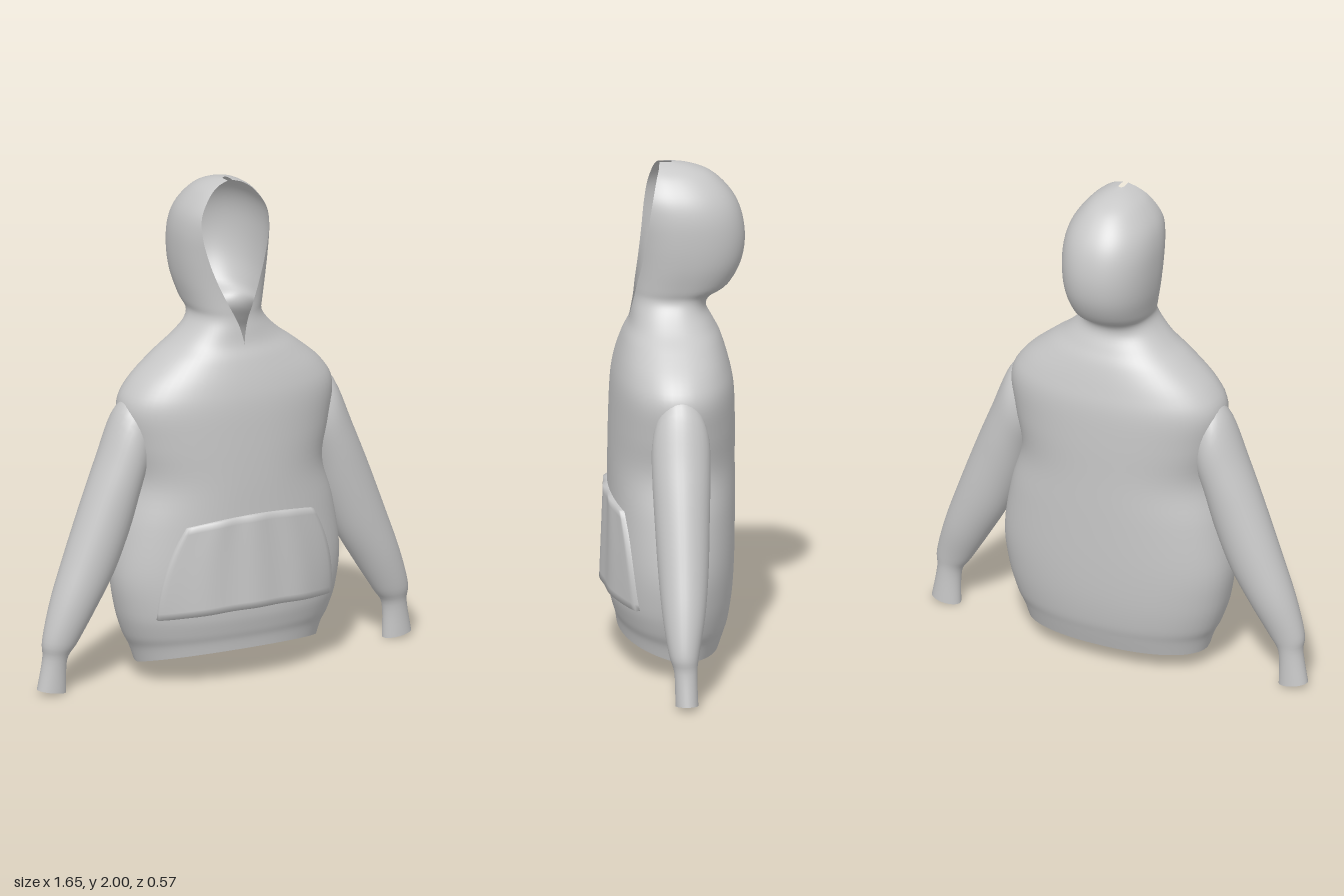
import * as THREE from 'three';
import { mergeVertices } from 'three/addons/utils/BufferGeometryUtils.js';

const ROUND = 0.9; // slightly boxier than an ellipse

// Smoothly resample a table of sections (Catmull-Rom on every column)
function smoothRows(table, steps) {
  const out = [];
  const last = table.length - 1;
  for (let i = 0; i < last; i++) {
    const p0 = table[Math.max(i - 1, 0)], p1 = table[i];
    const p2 = table[i + 1], p3 = table[Math.min(i + 2, last)];
    for (let s = 0; s < steps; s++) {
      const t = s / steps;
      out.push(p1.map((v, k) => 0.5 * (2 * v + (p2[k] - p0[k]) * t
        + (2 * p0[k] - 5 * v + 4 * p2[k] - p3[k]) * t * t
        + (3 * v - p0[k] - 3 * p2[k] + p3[k]) * t * t * t)));
    }
  }
  out.push(table[last]);
  return out;
}

// Skin rows of points into one smooth surface
function loft(rows) {
  const n = rows[0].length, index = [];
  for (let i = 0; i < rows.length - 1; i++) {
    for (let j = 0; j < n - 1; j++) {
      const a = i * n + j, b = a + 1, c = a + n, d = c + 1;
      index.push(a, b, c, b, d, c);
    }
  }
  let geo = new THREE.BufferGeometry().setFromPoints(rows.flat());
  geo.setIndex(index);
  geo = mergeVertices(geo, 1e-4);
  geo.computeVertexNormals();
  return geo;
}

// Horizontal section: half width w, front zf, back zb, centre c, half opening a
function bodyRow([y, w, zf, zb, c, a]) {
  const open = Math.min(Math.max(a, 0) / w, 0.97);
  const start = Math.acos(Math.pow(open, 1 / ROUND));
  const depth = (zf - c) / Math.pow(Math.sin(start), ROUND);
  const half = 28, side = [];
  for (let j = 0; j <= half; j++) {
    const f = start + (-Math.PI / 2 - start) * j / half;
    const x = w * Math.pow(Math.max(Math.cos(f), 0), ROUND);
    const s = Math.pow(Math.abs(Math.sin(f)), ROUND);
    const z = f > 0 ? c + depth * s : c - (c - zb) * s;
    // The hem rises towards the front
    const lift = Math.max(0, z) * 0.28 * Math.max(0, 1 - (y - 0.07) / 0.2);
    side.push(new THREE.Vector3(x, y + lift, z));
  }
  const mirror = side.slice(0, -1).reverse().map(p => new THREE.Vector3(-p.x, p.y, p.z));
  return [...side, ...mirror];
}

// y, half width, front z, back z, centre z, half opening
const torso = [
  [0.07, 0.385, 0.215, -0.18, 0, 0],
  [0.13, 0.405, 0.222, -0.2, 0, 0],
  [0.19, 0.435, 0.235, -0.217, 0, 0],
  [0.3, 0.468, 0.25, -0.232, 0, 0],
  [0.45, 0.485, 0.252, -0.24, 0, 0],
  [0.65, 0.453, 0.25, -0.243, 0, 0],
  [0.82, 0.405, 0.25, -0.243, 0, 0],
  [0.98, 0.435, 0.246, -0.243, 0, 0],
  [1.12, 0.455, 0.238, -0.237, 0, 0],
  [1.21, 0.408, 0.222, -0.218, 0, 0],
  [1.3, 0.305, 0.195, -0.19, 0, 0],
];
const hood = [
  [1.36, 0.225, 0.17, -0.16, 0, 0],
  [1.42, 0.165, 0.158, -0.132, 0, 0.012],
  [1.465, 0.142, 0.149, -0.15, -0.01, 0.028],
  [1.51, 0.153, 0.142, -0.22, -0.03, 0.05],
  [1.6, 0.174, 0.125, -0.27, -0.05, 0.09],
  [1.7, 0.185, 0.11, -0.285, -0.05, 0.125],
  [1.8, 0.184, 0.098, -0.27, -0.04, 0.147],
  [1.88, 0.163, 0.085, -0.23, -0.02, 0.143],
  [1.95, 0.112, 0.068, -0.16, 0, 0.1],
  [1.985, 0.06, 0.055, -0.08, 0.01, 0.055],
  [2, 0.012, 0.05, 0, 0.02, 0.01],
];

// Outer edge x, y, inner edge x, y, front z, back z
const sleeve = [
  [0.4, 1.19, 0.34, 0.88, 0.085, -0.085],
  [0.475, 1.11, 0.372, 0.83, 0.11, -0.115],
  [0.55, 0.93, 0.393, 0.77, 0.113, -0.115],
  [0.62, 0.76, 0.435, 0.63, 0.108, -0.108],
  [0.7, 0.55, 0.5, 0.47, 0.1, -0.098],
  [0.765, 0.37, 0.582, 0.33, 0.088, -0.08],
  [0.805, 0.22, 0.66, 0.205, 0.068, -0.052],
  [0.803, 0.145, 0.703, 0.135, 0.048, -0.042],
  [0.826, 0.02, 0.705, 0, 0.045, -0.045],
];

function sleeveRow([ox, oy, ix, iy, zf, zb]) {
  const ring = [];
  for (let j = 0; j <= 32; j++) {
    const t = (j % 32) / 32 * Math.PI * 2, c = Math.cos(t), s = Math.sin(t);
    ring.push(new THREE.Vector3((ox + ix) / 2 + (ox - ix) / 2 * c,
      (oy + iy) / 2 + (oy - iy) / 2 * c, (zf + zb) / 2 + (zf - zb) / 2 * s));
  }
  return ring;
}

// Curved panel that hugs the belly, with a thin turned-in edge
function pocketGeometry() {
  const rows = [], nu = 40, nv = 16;
  const place = (i, n) => Math.min(Math.max((i - 1) / (n - 2), 0), 1);
  for (let i = 0; i <= nv; i++) {
    const v = place(i, nv), row = [];
    for (let j = 0; j <= nu; j++) {
      const u = place(j, nu) * 2 - 1;
      const edge = i === 0 || i === nv || j === 0 || j === nu;
      const x = u * (0.383 - 0.105 * Math.pow(v, 2.2));
      const y = 0.285 + 0.375 * v + 0.028 * (1 - u * u);
      const w = 0.485 - 0.8 * (y - 0.45) ** 2;
      const belly = 0.25 * Math.pow(1 - Math.pow(Math.abs(x) / w, 2 / ROUND), ROUND / 2);
      const puff = 0.016 + 0.014 * (1 - v) * (1 - u * u) + 0.004 * Math.cos(u * 11) * (1 - u * u);
      row.push(new THREE.Vector3(x, y, belly + (edge ? -0.004 : puff)));
    }
    rows.push(row);
  }
  return loft(rows);
}

export function createModel() {
  const group = new THREE.Group();
  const fabric = new THREE.MeshStandardMaterial({ color: 0xc8c8c8, side: THREE.DoubleSide });
  fabric.name = 'grey fabric';
  const add = (name, geo) => {
    const mesh = new THREE.Mesh(geo, fabric);
    mesh.name = name;
    group.add(mesh);
    return mesh;
  };

  // Torso and hood are one continuous open shell
  add('torsoAndHood', loft(smoothRows([...torso, ...hood], 5).map(bodyRow)));

  // Sleeves
  const sleeveGeo = loft(smoothRows(sleeve, 5).map(sleeveRow));
  add('leftSleeve', sleeveGeo);
  add('rightSleeve', sleeveGeo).scale.x = -1;

  // Front pocket
  add('frontPocket', pocketGeometry());
  return group;
}
